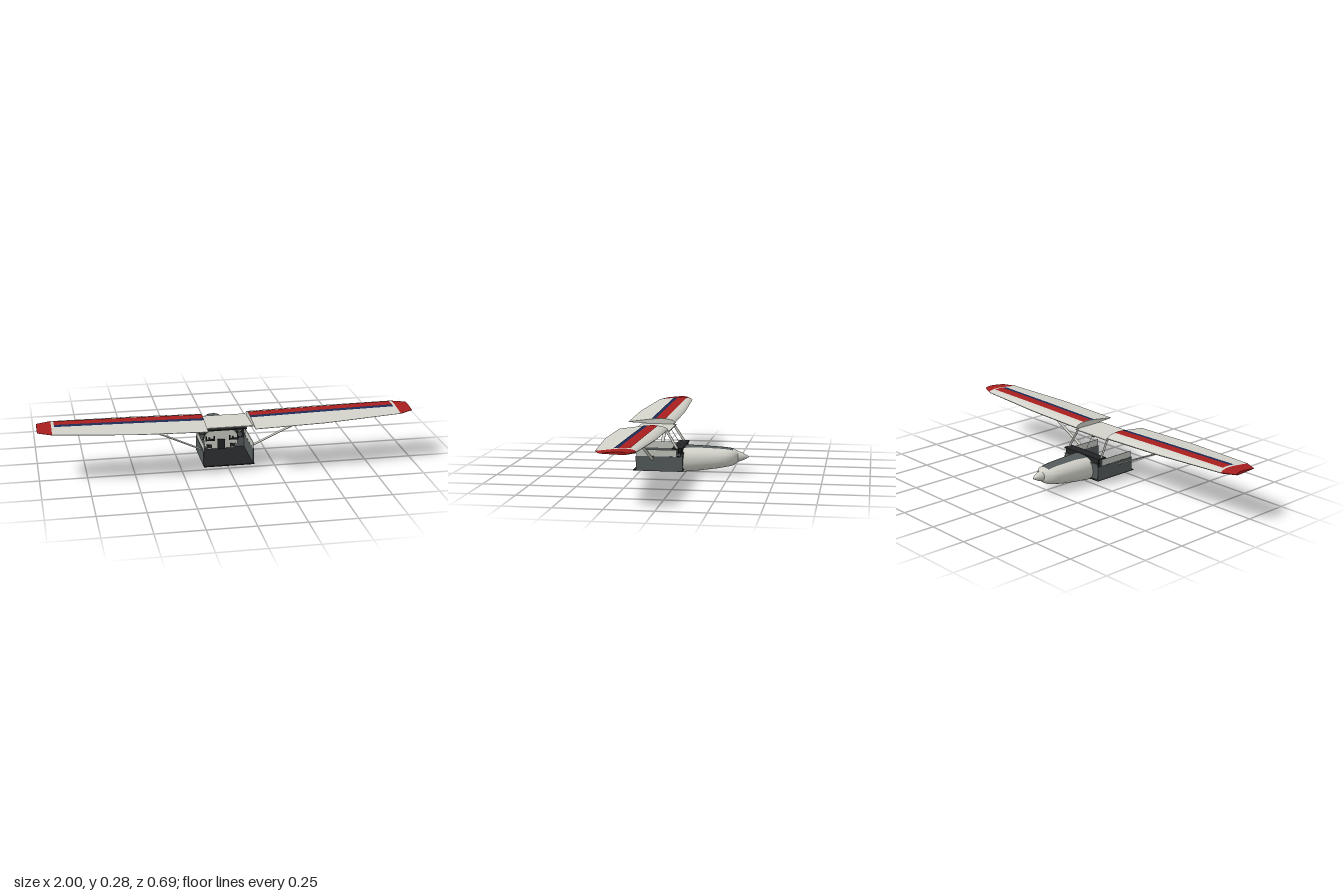
import * as THREE from 'three';
import { toCreasedNormals } from 'three/addons/utils/BufferGeometryUtils.js';

const mat = (name, color) => new THREE.MeshStandardMaterial({ name, color, side: THREE.DoubleSide });
const V = (x, y, z) => new THREE.Vector3(x, y, z);

// Interpolate rows of [key, a, b, ...] at key k (keys ascending)
function sample(rows, k) {
  let i = 0;
  while (i < rows.length - 2 && k > rows[i + 1][0]) i++;
  const a = rows[i], b = rows[i + 1];
  const f = THREE.MathUtils.clamp((k - a[0]) / (b[0] - a[0]), 0, 1);
  return a.map((v, j) => v + (b[j] - v) * f);
}

// Skin a list of equally long rows of points
function skin(rows, crease = 0.6) {
  const n = rows[0].length, pos = [], idx = [];
  rows.forEach(r => r.forEach(p => pos.push(p.x, p.y, p.z)));
  for (let i = 0; i < rows.length - 1; i++) {
    for (let j = 0; j < n - 1; j++) {
      const a = i * n + j, b = a + n;
      idx.push(a, b, a + 1, b, b + 1, a + 1);
    }
  }
  const g = new THREE.BufferGeometry();
  g.setAttribute('position', new THREE.Float32BufferAttribute(pos, 3));
  g.setIndex(idx);
  return toCreasedNormals(g, crease);
}

// Row collapsed to its middle, used to cap a skin
function capRow(row) {
  const c = V(0, 0, 0);
  row.forEach(p => c.add(p));
  c.divideScalar(row.length);
  return row.map(() => c);
}

// Wing stations: span, leading z, trailing z, base y, thickness
const STATIONS = [
  [0.125, 0.08, 0.345, 0.238, 0.034], [0.5, 0.08, 0.343, 0.248, 0.031],
  [0.925, 0.1, 0.302, 0.262, 0.023], [1, 0.132, 0.266, 0.267, 0.015]];
const UPPER = [[0, 0.35], [0.02, 0.56], [0.06, 0.74], [0.12, 0.88], [0.2, 0.97], [0.3, 1],
  [0.42, 0.95], [0.56, 0.83], [0.75, 0.63], [1, 0.36]];
const LOWER = [[1, 0.3], [0.75, 0.2], [0.45, 0.1], [0.1, 0], [0.03, 0.1], [0, 0.35]];

function wingSection(x, s) {
  const [, le, te, y, h] = sample(STATIONS, x);
  return [...UPPER, ...LOWER].map(([t, v]) => V(s * x, y + v * h, le + t * (te - le)));
}
function wingTop(x, z) {
  const [, le, te, y, h] = sample(STATIONS, x);
  return y + h * sample(UPPER, (z - le) / (te - le))[1];
}

// Cowling stations: z, half width, top y, bottom y
const COWL = [[-0.287, 0.028, 0.12, 0.064], [-0.278, 0.042, 0.125, 0.055], [-0.258, 0.062, 0.133, 0.043],
  [-0.225, 0.074, 0.137, 0.036], [-0.18, 0.083, 0.14, 0.027], [-0.08, 0.091, 0.144, 0.013], [0.02, 0.094, 0.147, 0.002]];
const POW = 2.3;

function cowlSection(z) {
  const [, w, top, bot] = sample(COWL, z);
  const row = [];
  for (let i = 0; i <= 40; i++) {
    const a = i / 40 * Math.PI * 2, c = Math.cos(a), n = Math.sin(a);
    row.push(V(w * Math.sign(c) * Math.abs(c) ** (2 / POW),
      (top + bot) / 2 + (top - bot) / 2 * Math.sign(n) * Math.abs(n) ** (2 / POW), z));
  }
  return row;
}
function cowlTop(x, z) {
  const [, w, top, bot] = sample(COWL, z);
  return (top + bot) / 2 + (top - bot) / 2 * (1 - Math.min(1, Math.abs(x / w)) ** POW) ** (1 / POW);
}

export function createModel() {
  const model = new THREE.Group();
  const white = mat('off white paint', 0xd2d2ca), red = mat('red paint', 0xa81e1e);
  const navy = mat('navy paint', 0x1c2a55), grey = mat('dark grey panel', 0x545a5b);
  const black = mat('black trim', 0x222425), glass = mat('pale window', 0xc4c6bf);

  const add = (name, geo, material, x = 0, y = 0, z = 0) => {
    const m = new THREE.Mesh(geo, material);
    m.name = name;
    m.position.set(x, y, z);
    model.add(m);
    return m;
  };
  const box = (name, material, w, h, d, x, y, z) =>
    add(name, new THREE.BoxGeometry(w, h, d), material, x, y, z);
  // Streamlined bar between two points, wide along z
  const bar = (name, a, b, thick, wide, material) => {
    const g = new THREE.CylinderGeometry(thick / 2, thick / 2, a.distanceTo(b), 12);
    g.scale(1, 1, wide / thick);
    const m = add(name, g, material);
    m.position.copy(a).add(b).multiplyScalar(0.5);
    m.quaternion.setFromUnitVectors(V(0, 1, 0), b.clone().sub(a).normalize());
  };
  // Painted band lying on the wing's upper skin
  const band = (name, s, z0, z1, material) => {
    const rows = [];
    for (let i = 0; i <= 16; i++) {
      const x = 0.126 + i / 16 * 0.784, row = [];
      for (let j = 0; j <= 8; j++) {
        const z = z0 + j / 8 * (z1 - z0);
        row.push(V(s * x, wingTop(x, z) + 0.0015, z));
      }
      rows.push(row);
    }
    add(name, skin(rows), material);
  };

  for (const s of [1, -1]) {
    // Wing panel, tip and stripes
    const main = [0.125, 0.3, 0.5, 0.7, 0.925].map(x => wingSection(x, s));
    add('wing', skin([capRow(main[0]), ...main]), white);
    const tip = [0.925, 0.96, 1].map(x => wingSection(x, s));
    add('wingTip', skin([...tip, capRow(tip[2])]), red);
    band('redStripe', s, 0.133, 0.19, red);
    band('navyStripe', s, 0.19, 0.215, navy);

    // Struts and windscreen posts
    bar('wingStrut', V(s * 0.135, 0.088, 0.165), V(s * 0.48, 0.25, 0.178), 0.008, 0.02, white);
    bar('windscreenPost', V(s * 0.13, 0.145, 0.028), V(s * 0.117, 0.245, 0.09), 0.008, 0.014, white);

    // Cabin side and window
    box('cabinSide', grey, 0.006, 0.08, 0.255, s * 0.133, 0.065, 0.128);
    box('sideWindow', glass, 0.003, 0.036, 0.217, s * 0.132, 0.123, 0.142);

    // Control wheel: column, hub bar and two grips
    box('controlColumn', black, 0.007, 0.007, 0.045, s * 0.065, 0.092, 0.028);
    box('controlWheel', black, 0.044, 0.007, 0.007, s * 0.065, 0.092, 0.052);
    for (const k of [-1, 1]) box('wheelGrip', black, 0.006, 0.026, 0.007, s * 0.065 + k * 0.022, 0.1, 0.052);
    box('rudderPedal', black, 0.03, 0.02, 0.006, s * 0.065, 0.045, 0.022);
  }

  // Roof plate joining the wings
  box('roof', white, 0.25, 0.005, 0.195, 0, 0.24, 0.172);
  bar('centrePost', V(0, 0.15, 0.03), V(0, 0.24, 0.088), 0.003, 0.003, white);
  box('compass', black, 0.014, 0.01, 0.016, 0, 0.229, 0.098);

  // Cabin floor, bulkhead and instrument panel
  box('floor', black, 0.272, 0.005, 0.27, 0, 0.0265, 0.136);
  const bulkhead = box('bulkhead', grey, 0.266, 0.092, 0.005, 0, 0.075, 0.006);
  bulkhead.rotation.x = -0.08;
  box('instrumentPanel', black, 0.262, 0.066, 0.006, 0, 0.113, 0.01);
  box('glareShield', black, 0.276, 0.007, 0.056, 0, 0.148, 0.03);
  box('centreConsole', black, 0.04, 0.055, 0.02, 0, 0.055, 0.02);

  // Round instruments: dark face in a pale ring
  for (let r = 0; r < 2; r++) {
    for (let i = 0; i < 8; i++) {
      const x = -0.105 + i * 0.03, y = 0.128 - r * 0.027;
      add('gaugeRing', new THREE.TorusGeometry(0.0095, 0.001, 6, 20), glass, x, y, 0.0135);
      const face = add('gaugeFace', new THREE.CylinderGeometry(0.009, 0.009, 0.002, 20), grey, x, y, 0.0135);
      face.rotation.x = Math.PI / 2;
    }
  }

  // Cowling with closed rear
  const hull = COWL.map(c => cowlSection(c[0]));
  add('cowling', skin([capRow(hull[0]), ...hull, capRow(hull[hull.length - 1])]), white);

  // Dark anti-glare band along the cowling top
  const glare = [];
  for (let i = 0; i <= 16; i++) {
    const z = -0.26 + i / 16 * 0.28, w = sample([[-0.26, 0.031], [-0.08, 0.038], [0.02, 0.052]], z)[1], row = [];
    for (let j = 0; j <= 10; j++) {
      const x = (j / 5 - 1) * w;
      row.push(V(x, cowlTop(x, z) + 0.002, z));
    }
    glare.push(row);
  }
  add('antiGlareBand', skin(glare), grey);

  // Pointed spinner
  const profile = [[0.028, 0], [0.026, 0.01], [0.0205, 0.025], [0.0125, 0.041], [0.006, 0.052], [0, 0.06]];
  const spinner = add('spinner', new THREE.LatheGeometry(profile.map(p => new THREE.Vector2(...p)), 28),
    white, 0, 0.092, -0.286);
  spinner.rotation.x = -Math.PI / 2;

  return model;
}
